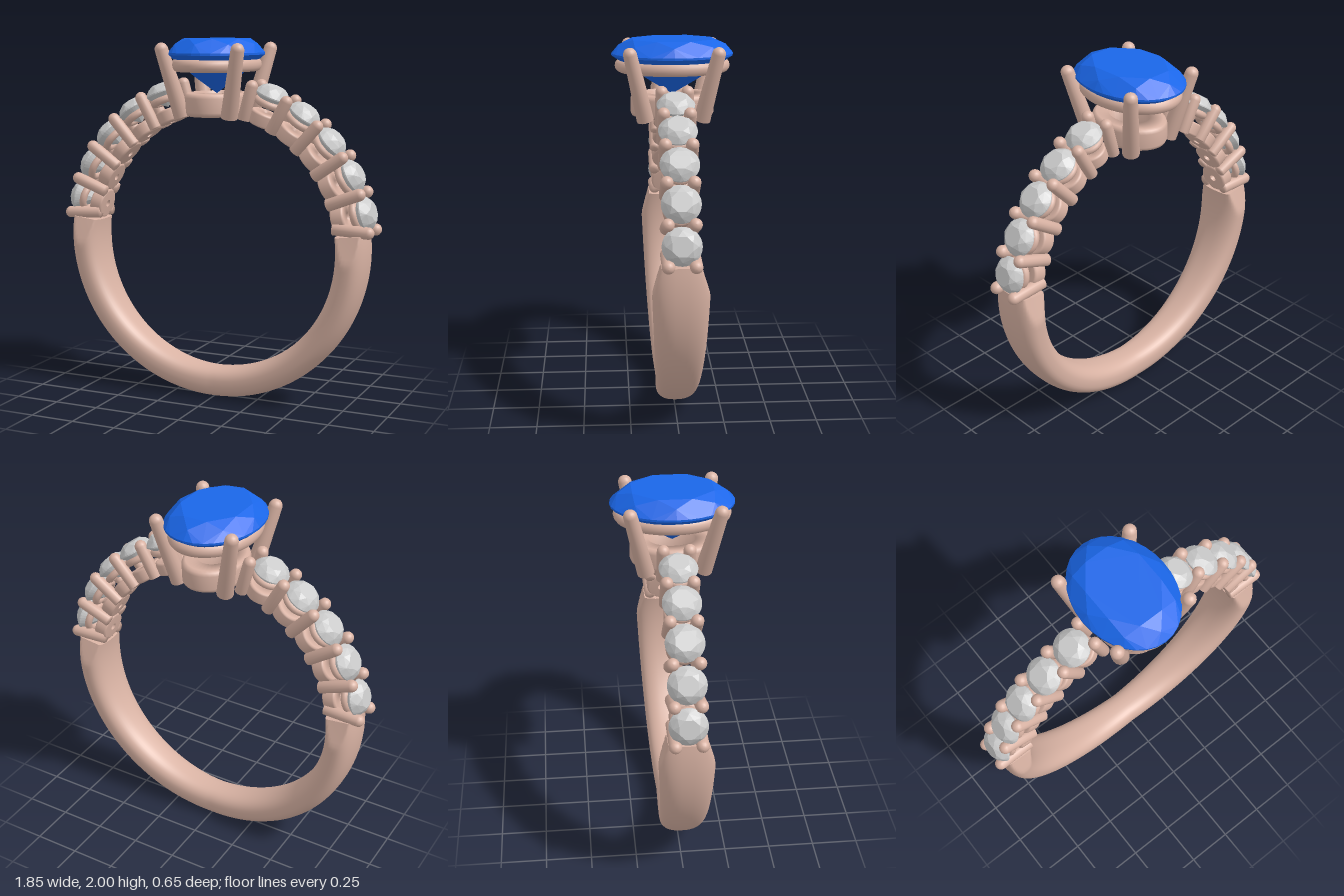
import * as THREE from 'three';
import { ConvexGeometry } from 'three/addons/geometries/ConvexGeometry.js';

const metal = new THREE.MeshStandardMaterial({ color: 0xd8b2a3 });
const blue = new THREE.MeshStandardMaterial({ color: 0x1a66e8 });
const grey = new THREE.MeshStandardMaterial({ color: 0xcccccc });
const CY = 0.882; // height of the finger-hole centre
const rad = THREE.MathUtils.degToRad;

function add(parent, name, geometry, material) {
  const mesh = new THREE.Mesh(geometry, material);
  mesh.name = name;
  parent.add(mesh);
  return mesh;
}

// Round-ended rod from a to b, with its own radius at each end
function rod(parent, name, a, b, ra, rb) {
  const len = a.distanceTo(b);
  const pts = [new THREE.Vector2(0, 0), new THREE.Vector2(ra, 0)];
  for (let i = 0; i <= 6; i++) {
    const t = (i / 6) * Math.PI / 2;
    pts.push(new THREE.Vector2(i === 6 ? 0 : rb * Math.cos(t), len - rb + rb * Math.sin(t)));
  }
  const m = add(parent, name, new THREE.LatheGeometry(pts, 16), metal);
  m.position.copy(a);
  m.quaternion.setFromUnitVectors(new THREE.Vector3(0, 1, 0), b.clone().sub(a).normalize());
  return m;
}

// Faceted brilliant cut: girdle at y = 0, table at +crown, point at -pavilion
function gem(rx, rz, crown, pavilion, table) {
  const pts = [];
  const ring = (n, r, y, offset) => {
    for (let i = 0; i < n; i++) {
      const a = ((i + offset) / n) * Math.PI * 2;
      pts.push(new THREE.Vector3(rx * r * Math.cos(a), y, rz * r * Math.sin(a)));
    }
  };
  ring(8, table, crown, 0.5);
  ring(8, (table + 1.06) / 2, crown * 0.64, 0);
  ring(32, 1, crown * 0.07, 0);
  ring(32, 1, -crown * 0.07, 0);
  ring(8, 0.45, -pavilion * 0.6, 0.5);
  pts.push(new THREE.Vector3(0, -pavilion, 0));
  return new ConvexGeometry(pts);
}

// Washer with rounded outer edges, axis along y, from y = 0 to y = h
function washer(inner, outer, h, bevel) {
  const pts = [[inner, 0], [outer - bevel, 0], [outer - bevel * 0.3, bevel * 0.3], [outer, bevel],
    [outer, h - bevel], [outer - bevel * 0.3, h - bevel * 0.3], [outer - bevel, h], [inner, h], [inner, 0]];
  const soft = new THREE.LatheGeometry(pts.map(p => new THREE.Vector2(...p)), 40);
  return soft;
}

// Tapering shank, swept through the lower part of the circle
function shankGeometry() {
  const N = 120, M = 40, end = rad(97), wide = rad(86.5);
  const pos = [], idx = [];
  const sp = (v, e) => Math.sign(v) * Math.pow(Math.abs(v), e);
  for (let i = 0; i <= N; i++) {
    const phi = -end + (2 * end * i) / N;
    const t = Math.abs(phi);
    const hw = 0.095 + 0.05 * Math.min(1, t / wide);
    // flat side cuts narrow the shoulders
    const cut = t > wide ? 0.145 - 0.045 * (t - wide) / (end - wide) : 1;
    for (let j = 0; j < M; j++) {
      const a = (j / M) * Math.PI * 2;
      const r = 0.793 + 0.084 * sp(Math.cos(a), 0.8);
      const z = THREE.MathUtils.clamp(hw * sp(Math.sin(a), 0.8), -cut, cut);
      pos.push(r * Math.sin(phi), CY - r * Math.cos(phi), z);
    }
  }
  for (let i = 0; i < N; i++) for (let j = 0; j < M; j++) {
    const a = i * M + j, b = i * M + (j + 1) % M, c = a + M, d = b + M;
    idx.push(a, c, b, b, c, d);
  }
  // end caps with their own vertices
  for (const i of [0, N]) {
    const base = pos.length / 3;
    for (let j = 0; j < M; j++) {
      const k = (i * M + j) * 3;
      pos.push(pos[k], pos[k + 1], pos[k + 2]);
    }
    for (let j = 1; j < M - 1; j++) {
      if (i === 0) idx.push(base, base + j, base + j + 1);
      else idx.push(base, base + j + 1, base + j);
    }
  }
  const g = new THREE.BufferGeometry();
  g.setAttribute('position', new THREE.Float32BufferAttribute(pos, 3));
  g.setIndex(idx);
  g.computeVertexNormals();
  return g;
}

export function createModel() {
  const ring = new THREE.Group();
  ring.name = 'ring';
  const shank = add(ring, 'shank', shankGeometry(), metal);
  shank.material = metal.clone();
  shank.material.side = THREE.DoubleSide;

  // Shoulders: five small stones in seats, with paired prongs between them
  const smallGem = gem(0.097, 0.1, 0.05, 0.085, 0.55);
  const cup = washer(0.02, 0.085, 0.075, 0.012);
  const collar = new THREE.TorusGeometry(0.068, 0.021, 10, 32).rotateX(Math.PI / 2);
  const first = 7.4, step = 13.5;
  for (const side of [1, -1]) {
    const shoulder = new THREE.Group();
    shoulder.name = side > 0 ? 'leftShoulder' : 'rightShoulder';
    ring.add(shoulder);
    for (let i = 0; i < 5; i++) {
      const seat = new THREE.Group();
      seat.name = 'stoneSeat';
      seat.position.y = CY;
      seat.rotation.z = side * rad(first + step * (i + 0.5) - 90);
      add(seat, 'seatCup', cup, metal).position.y = 0.708;
      add(seat, 'seatCollar', collar, metal).position.y = 0.836;
      add(seat, 'smallStone', smallGem, grey).position.y = 0.88;
      shoulder.add(seat);
    }
    for (let i = 0; i < 6; i++) for (const z of [-0.068, 0.068]) {
      const tip = rad(first + step * i);
      const root = i === 0 ? rad(10.6) : tip;
      const at = (r, a) => new THREE.Vector3(side * r * Math.cos(a), CY + r * Math.sin(a), z);
      rod(shoulder, 'smallProng', at(0.712, root), at(0.932, tip), 0.033, 0.033);
    }
  }

  // Central setting: oval base, gallery rail, four splayed prongs and the main stone
  const setting = new THREE.Group();
  setting.name = 'centreSetting';
  ring.add(setting);
  const base = add(setting, 'settingBase', washer(0.125, 0.225, 0.125, 0.025), metal);
  base.position.y = 1.585;
  base.scale.x = 0.74;
  const rail = add(setting, 'galleryRail', new THREE.TorusGeometry(0.272, 0.036, 14, 64).rotateX(Math.PI / 2), metal);
  rail.position.y = 1.86;
  rail.scale.x = 0.75;
  for (const x of [-1, 1]) for (const z of [-1, 1]) {
    rod(setting, 'mainProng', new THREE.Vector3(x * 0.138, 1.585, z * 0.15),
      new THREE.Vector3(x * 0.228, 1.978, z * 0.238), 0.046, 0.036);
  }
  add(setting, 'mainStone', gem(0.25, 0.325, 0.08, 0.215, 0.7), blue).position.y = 1.92;
  return ring;
}
